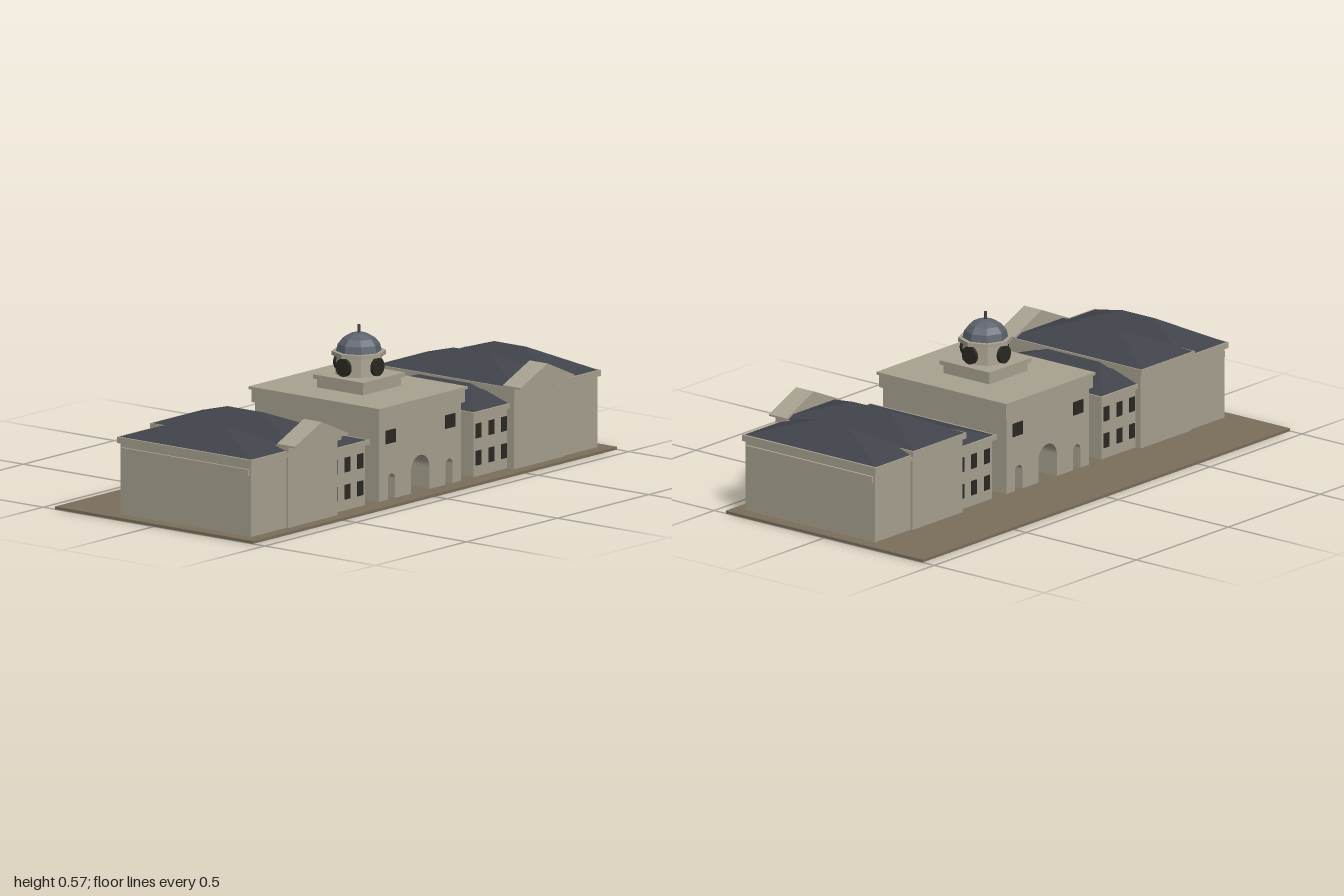
import * as THREE from 'three';

const mat = (color, flatShading = true) =>
  new THREE.MeshStandardMaterial({ color, flatShading, roughness: 0.9 });
const stone = mat(0xa8a190), roofing = mat(0x41434b), ground = mat(0x7a6f5a);
const dark = mat(0x2a2822), lead = mat(0x5c626c);

function add(parent, name, geometry, material) {
  const mesh = new THREE.Mesh(geometry, material);
  mesh.name = name;
  parent.add(mesh);
  return mesh;
}

// Box given by its minimum and maximum along each axis
function block(parent, name, [x0, x1], [y0, y1], [z0, z1], material = stone) {
  const mesh = add(parent, name, new THREE.BoxGeometry(x1 - x0, y1 - y0, z1 - z0), material);
  mesh.position.set((x0 + x1) / 2, (y0 + y1) / 2, (z0 + z1) / 2);
  return mesh;
}

// Hip roof with its ridge along z
function hipRoof(parent, name, [x0, x1], [y0, y1], [z0, z1], inset) {
  const xm = (x0 + x1) / 2;
  const a = [x0, y0, z1], b = [x1, y0, z1], c = [x1, y0, z0], d = [x0, y0, z0];
  const f = [xm, y1, z1 - inset], k = [xm, y1, z0 + inset];
  const faces = [a, b, f, c, d, k, b, c, k, b, k, f, d, a, f, d, f, k, a, d, c, a, c, b];
  const g = new THREE.BufferGeometry();
  g.setAttribute('position', new THREE.Float32BufferAttribute(faces.flat(), 3));
  g.computeVertexNormals();
  return add(parent, name, g, roofing);
}

function extrude(parent, name, shape, [z0, z1]) {
  const g = new THREE.ExtrudeGeometry(shape, { depth: z1 - z0, bevelEnabled: false, curveSegments: 12 });
  g.translate(0, 0, z0);
  return add(parent, name, g, stone);
}

// Gatehouse with three passages cut through it
function createGatehouse() {
  const group = new THREE.Group();
  group.name = 'gatehouse';
  const s = new THREE.Shape();
  s.moveTo(-0.225, 0.01);
  for (const [x, r, top] of [[-0.158, 0.02, 0.1], [0, 0.05, 0.14], [0.158, 0.02, 0.1]]) {
    s.lineTo(x - r, 0.01);
    s.lineTo(x - r, top - r);
    s.absarc(x, top - r, r, Math.PI, 0, true);
    s.lineTo(x + r, 0.01);
  }
  s.lineTo(0.225, 0.01);
  s.lineTo(0.225, 0.29);
  s.lineTo(-0.225, 0.29);
  extrude(group, 'archedWalls', s, [-0.18, 0.38]);
  block(group, 'parapet', [-0.236, 0.236], [0.29, 0.336], [-0.188, 0.388]);
  block(group, 'parapetCap', [-0.243, 0.243], [0.336, 0.346], [-0.195, 0.395]);
  for (const x of [-0.164, 0.164])
    for (const z of [-0.18, 0.38])
      block(group, 'gatehouseWindow', [x - 0.027, x + 0.027], [0.21, 0.258], [z - 0.003, z + 0.003], dark);
  return group;
}

// Octagonal clock tower
function createTower() {
  const group = new THREE.Group();
  group.name = 'clockTower';
  group.position.z = 0.103;
  block(group, 'plinth', [-0.104, 0.104], [0.34, 0.378], [-0.104, 0.104]);
  block(group, 'plinthCap', [-0.114, 0.114], [0.378, 0.393], [-0.114, 0.114]);
  add(group, 'drum', new THREE.CylinderGeometry(0.078, 0.082, 0.07, 8), stone).position.y = 0.427;
  add(group, 'drumCornice', new THREE.CylinderGeometry(0.096, 0.096, 0.014, 8), stone).position.y = 0.468;
  const dome = add(group, 'dome',
    new THREE.SphereGeometry(0.08, 8, 4, 0, Math.PI * 2, 0, Math.PI / 2), lead);
  dome.position.y = 0.475;
  dome.scale.y = 0.82;
  add(group, 'finial', new THREE.CylinderGeometry(0.005, 0.005, 0.035, 8), roofing).position.y = 0.55;
  for (let i = 0; i < 4; i++) {
    const pivot = new THREE.Group();
    pivot.name = 'clockFace';
    pivot.rotation.y = i * Math.PI / 2;
    const disc = add(pivot, 'clockDisc', new THREE.CylinderGeometry(0.032, 0.032, 0.012, 24), dark);
    disc.rotation.x = Math.PI / 2;
    disc.position.set(0, 0.427, 0.084);
    group.add(pivot);
  }
  return group;
}

// One side of the building; sx is +1 for left, -1 for right
function createWing(sx) {
  const group = new THREE.Group();
  group.name = sx > 0 ? 'leftWing' : 'rightWing';
  const span = (a, b) => (sx > 0 ? [a, b] : [-b, -a]);

  // Low link range with two rows of windows
  block(group, 'linkWalls', span(0.298, 0.6), [0.01, 0.226], [-0.175, 0.375]);
  block(group, 'linkCornice', span(0.285, 0.6), [0.226, 0.243], [-0.187, 0.387]);
  hipRoof(group, 'linkRoof', span(0.292, 0.768), [0.243, 0.308], [-0.18, 0.38], 0.21);
  for (const x of [0.325, 0.396, 0.464])
    for (const y of [0.075, 0.172])
      for (const z of [-0.175, 0.375])
        block(group, 'linkWindow', span(x - 0.015, x + 0.015), [y - 0.026, y + 0.026], [z - 0.003, z + 0.003], dark);

  // Tall pavilion with a projecting gable
  block(group, 'pavilionWalls', span(0.484, 0.757), [0.01, 0.28], [-0.198, 0.405]);
  block(group, 'pavilionCornice', span(0.475, 0.766), [0.28, 0.301], [-0.209, 0.416]);
  hipRoof(group, 'pavilionRoof', span(0.48, 0.761), [0.301, 0.369], [-0.205, 0.41], 0.225);
  const gable = new THREE.Shape([[-0.147, 0.301], [0.147, 0.301], [0.147, 0.307], [0, 0.371], [-0.147, 0.307]]
    .map(([x, y]) => new THREE.Vector2(x + sx * 0.62, y)));
  extrude(group, 'pediment', gable, [0.364, 0.445]);

  // End block
  block(group, 'endWalls', span(0.7, 0.951), [0.01, 0.264], [-0.19, 0.398]);
  block(group, 'endFrieze', span(0.72, 0.96), [0.228, 0.25], [-0.183, 0.391]);
  block(group, 'endCornice', span(0.7, 0.96), [0.264, 0.286], [-0.2, 0.407]);
  hipRoof(group, 'endRoof', span(0.71, 0.952), [0.286, 0.358], [-0.195, 0.4], 0.225);
  return group;
}

export function createModel() {
  const model = new THREE.Group();
  model.name = 'building';
  block(model, 'ground', [-1, 1], [0, 0.01], [-0.447, 0.447], ground);
  model.add(createGatehouse(), createTower(), createWing(1), createWing(-1));
  return model;
}
